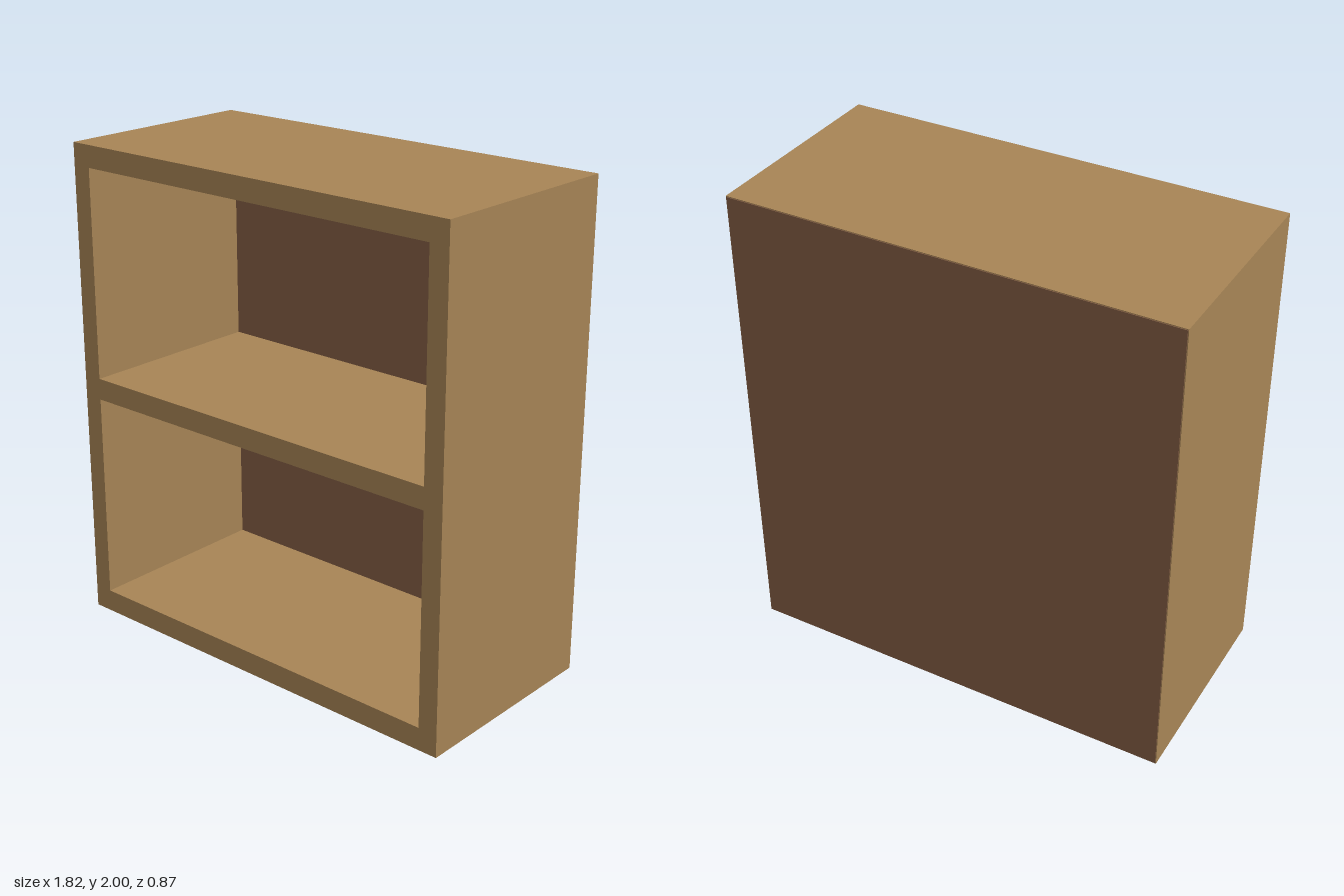
import * as THREE from 'three';

const W = 1.824, H = 2, D = 0.874;   // outer size
const INNER = 0.83;                  // half width of the openings
const PANEL = 0.065;                 // back panel thickness
const LIP = 0.003;                   // keeps panel and carcass faces from coinciding

function rect(Type, x0, y0, x1, y1) {
  return new Type([[x0, y0], [x1, y0], [x1, y1], [x0, y1]].map(([x, y]) => new THREE.Vector2(x, y)));
}

export function createModel() {
  const group = new THREE.Group();
  group.name = 'bookcase';
  const wood = new THREE.MeshStandardMaterial({ color: 0xa88556 });
  const darkWood = new THREE.MeshStandardMaterial({ color: 0x855f45 });

  // Carcass: sides, top, bottom and middle shelf around two open bays
  const outline = rect(THREE.Shape, -W / 2, 0, W / 2, H);
  for (const [y0, y1] of [[0.093, 0.957], [1.046, 1.91]]) {
    outline.holes.push(rect(THREE.Path, -INNER, y0, INNER, y1));
  }
  const carcass = new THREE.Mesh(
    new THREE.ExtrudeGeometry(outline, { depth: D - LIP, bevelEnabled: false }), wood);
  carcass.position.z = -D / 2 + LIP;
  carcass.name = 'carcass';
  group.add(carcass);

  // Back panel closing both bays
  const back = new THREE.Mesh(new THREE.BoxGeometry(W - 2 * LIP, H - 2 * LIP, PANEL), darkWood);
  back.position.set(0, H / 2, -D / 2 + PANEL / 2);
  back.name = 'backPanel';
  group.add(back);

  return group;
}
